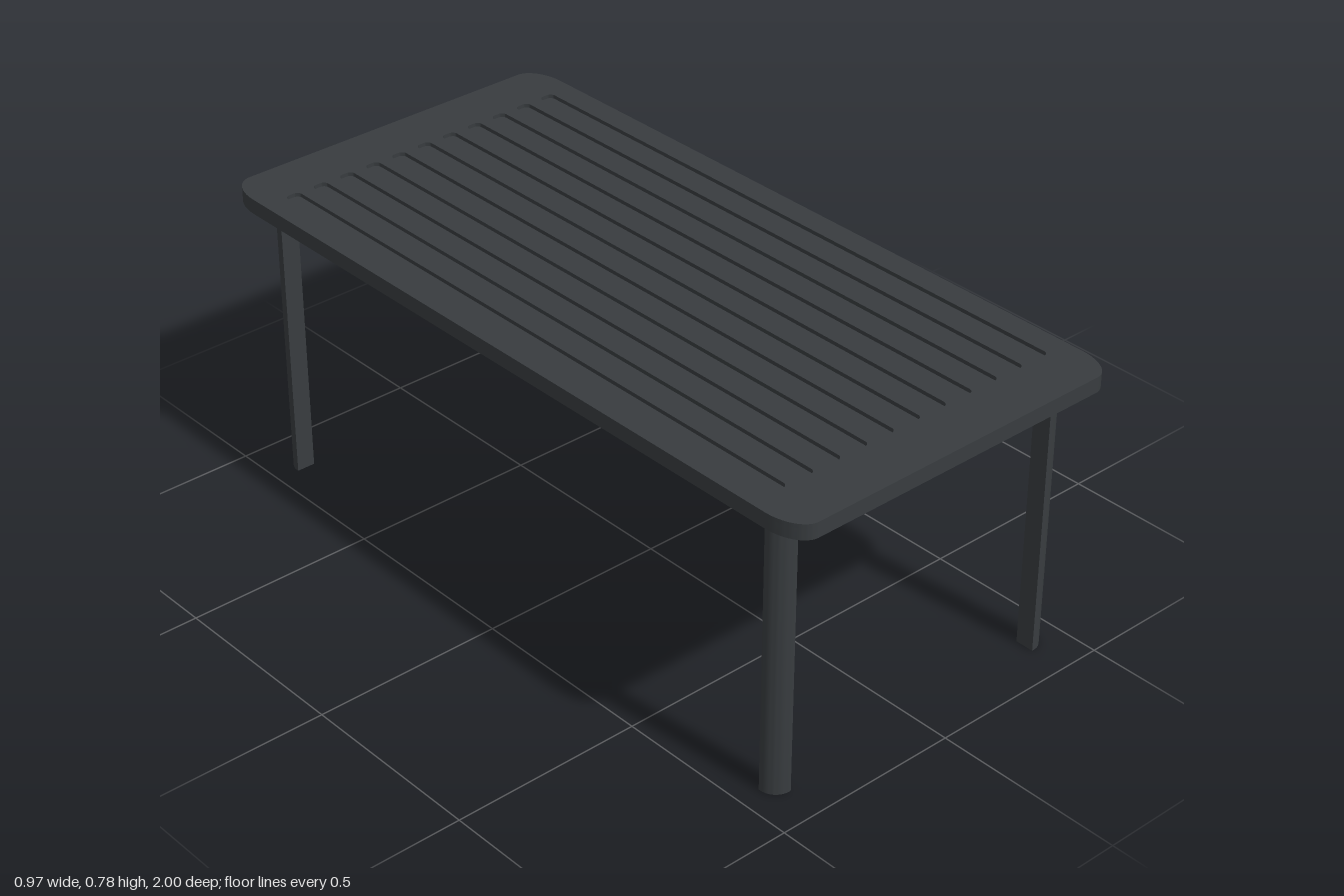
import * as THREE from 'three';
import { toCreasedNormals } from 'three/addons/utils/BufferGeometryUtils.js';

const material = new THREE.MeshStandardMaterial({ color: 0x383c3f });

// Rectangle centred on (cx, 0) with elliptical corners, traced on a Shape or Path
function roundedRect(path, cx, halfW, halfL, rx, ry) {
  const ix = halfW - rx, iy = halfL - ry;
  path.moveTo(cx + halfW, -iy);
  path.lineTo(cx + halfW, iy);
  path.absellipse(cx + ix, iy, rx, ry, 0, Math.PI / 2);
  path.lineTo(cx - ix, halfL);
  path.absellipse(cx - ix, iy, rx, ry, Math.PI / 2, Math.PI);
  path.lineTo(cx - halfW, -iy);
  path.absellipse(cx - ix, -iy, rx, ry, Math.PI, Math.PI * 1.5);
  path.lineTo(cx + ix, -halfL);
  path.absellipse(cx + ix, -iy, rx, ry, Math.PI * 1.5, Math.PI * 2);
  return path;
}

// Extrude a plan shape upwards from y0 to y1
function slab(name, shape, y0, y1) {
  let geometry = new THREE.ExtrudeGeometry(shape, {
    depth: y1 - y0, bevelEnabled: false, curveSegments: 10,
  });
  geometry.rotateX(-Math.PI / 2);
  geometry.translate(0, y0, 0);
  geometry = toCreasedNormals(geometry, Math.PI / 5);
  const mesh = new THREE.Mesh(geometry, material);
  mesh.name = name;
  return mesh;
}

// Leg section: square with its outer corner (sx, sy) rounded
function legShape(sx, sy) {
  const inX = 0.39, outX = 0.44, inY = 0.855, outY = 0.905, r = 0.045;
  const points = [new THREE.Vector2(inX, inY), new THREE.Vector2(outX, inY)];
  for (let i = 0; i <= 10; i++) {
    const a = (i / 10) * Math.PI / 2;
    points.push(new THREE.Vector2(outX - r + r * Math.cos(a), outY - r + r * Math.sin(a)));
  }
  points.push(new THREE.Vector2(inX, outY));
  points.forEach((p) => p.set(p.x * sx, p.y * sy));
  return new THREE.Shape(points);
}

export function createModel() {
  const table = new THREE.Group();
  table.name = 'gardenTable';
  const outline = () => roundedRect(new THREE.Shape(), 0, 0.485, 1, 0.06, 0.1);

  // Solid lower board and a slotted top layer that forms shallow grooves
  const top = new THREE.Group();
  top.name = 'tableTop';
  const grooved = outline();
  const grooves = 11, pitch = 0.08;
  for (let i = 0; i < grooves; i++) {
    const x = (i - (grooves - 1) / 2) * pitch;
    grooved.holes.push(roundedRect(new THREE.Path(), x, 0.02, 0.86, 0.014, 0.014));
  }
  top.add(slab('board', outline(), 0.74, 0.77), slab('groovedSurface', grooved, 0.77, 0.78));
  table.add(top);

  // Four legs, each rounded towards its own table corner (plan y is -z)
  for (const [name, sx, sy] of [
    ['frontLeftLeg', 1, -1], ['frontRightLeg', -1, -1],
    ['backLeftLeg', 1, 1], ['backRightLeg', -1, 1],
  ]) {
    table.add(slab(name, legShape(sx, sy), 0, 0.74));
  }
  return table;
}
